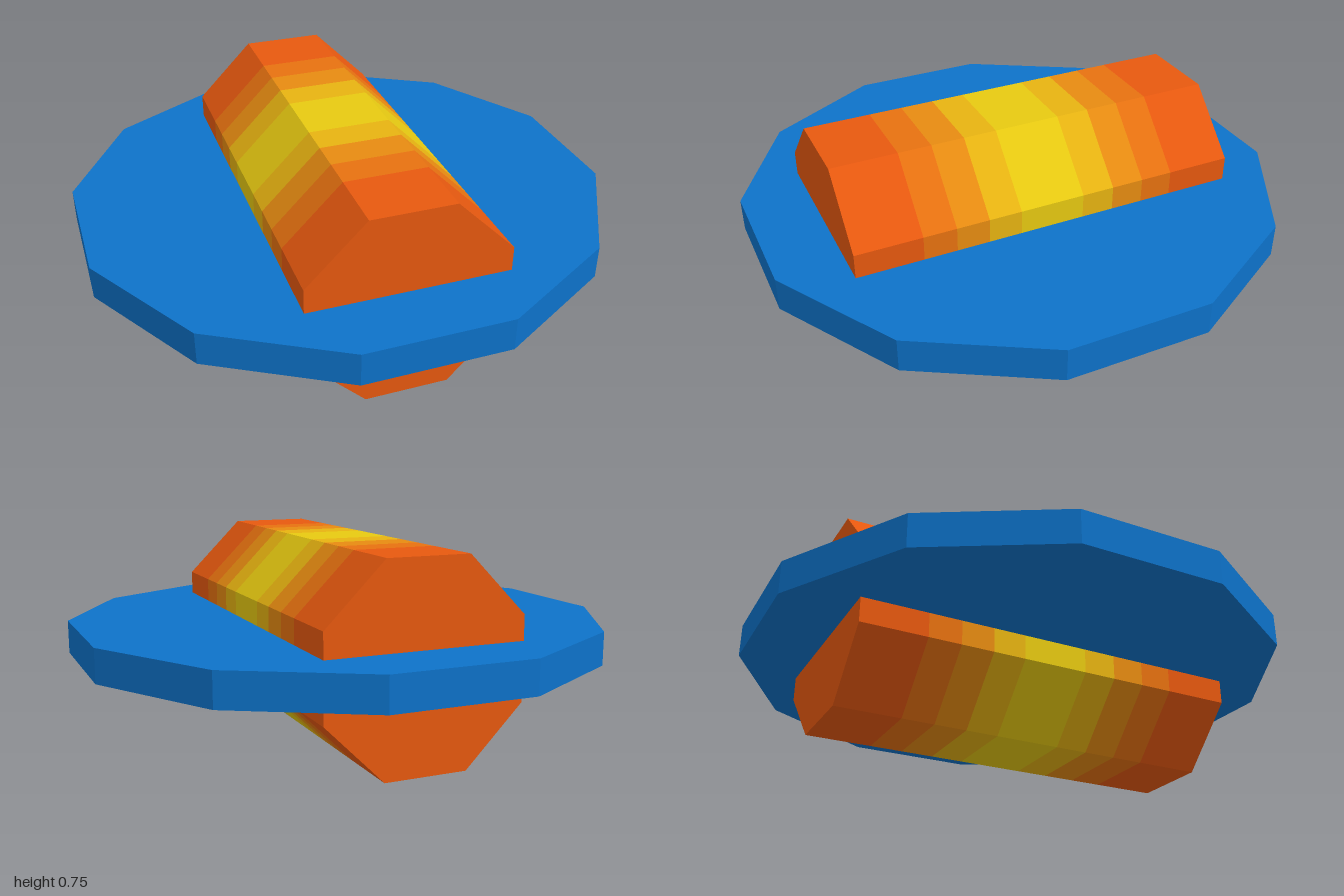
import * as THREE from 'three';

const mat = (name, color) => {
  const m = new THREE.MeshStandardMaterial({ color });
  m.name = name;
  return m;
};

// regular prism around y, sized by its flat-to-flat half width, with flats facing the axes
function prism(apothem, height, sides, open) {
  const r = apothem / Math.cos(Math.PI / sides);
  const g = new THREE.CylinderGeometry(r, r, height, sides, 1, open, Math.PI / sides).toNonIndexed();
  g.computeVertexNormals();
  return g;
}

export function createModel() {
  const model = new THREE.Group();
  model.name = 'barrelAndDisc';
  const orange = mat('orange', 0xe8590f);
  const blue = mat('blue', 0x0d72c9);
  const shades = [
    mat('yellow', 0xe8ca11),
    mat('amber', 0xe8b411),
    mat('lightOrange', 0xe88c11),
    mat('midOrange', 0xe87210),
    orange,
  ];
  const add = (name, geometry, material, y, z) => {
    const mesh = new THREE.Mesh(geometry, material);
    mesh.name = name;
    mesh.position.set(0, y, z);
    model.add(mesh);
    return mesh;
  };

  // twelve-sided disc
  add('disc', prism(1, 0.125, 12, false), blue, 0.375, 0);

  // octagonal barrel in colour bands, mirrored front to back
  const edges = [0, 0.125, 0.25, 0.375, 0.5, 0.75];
  shades.forEach((material, i) => {
    const length = edges[i + 1] - edges[i];
    const geometry = prism(0.375, length, 8, true).rotateX(Math.PI / 2);
    for (const side of [1, -1]) {
      add('barrelBand', geometry, material, 0.375, side * (edges[i] + length / 2));
    }
  });

  // flat barrel ends
  const cap = new THREE.CircleGeometry(0.375 / Math.cos(Math.PI / 8), 8, Math.PI / 8);
  add('barrelFrontEnd', cap, orange, 0.375, 0.75);
  add('barrelBackEnd', cap, orange, 0.375, -0.75).rotation.y = Math.PI;

  return model;
}
